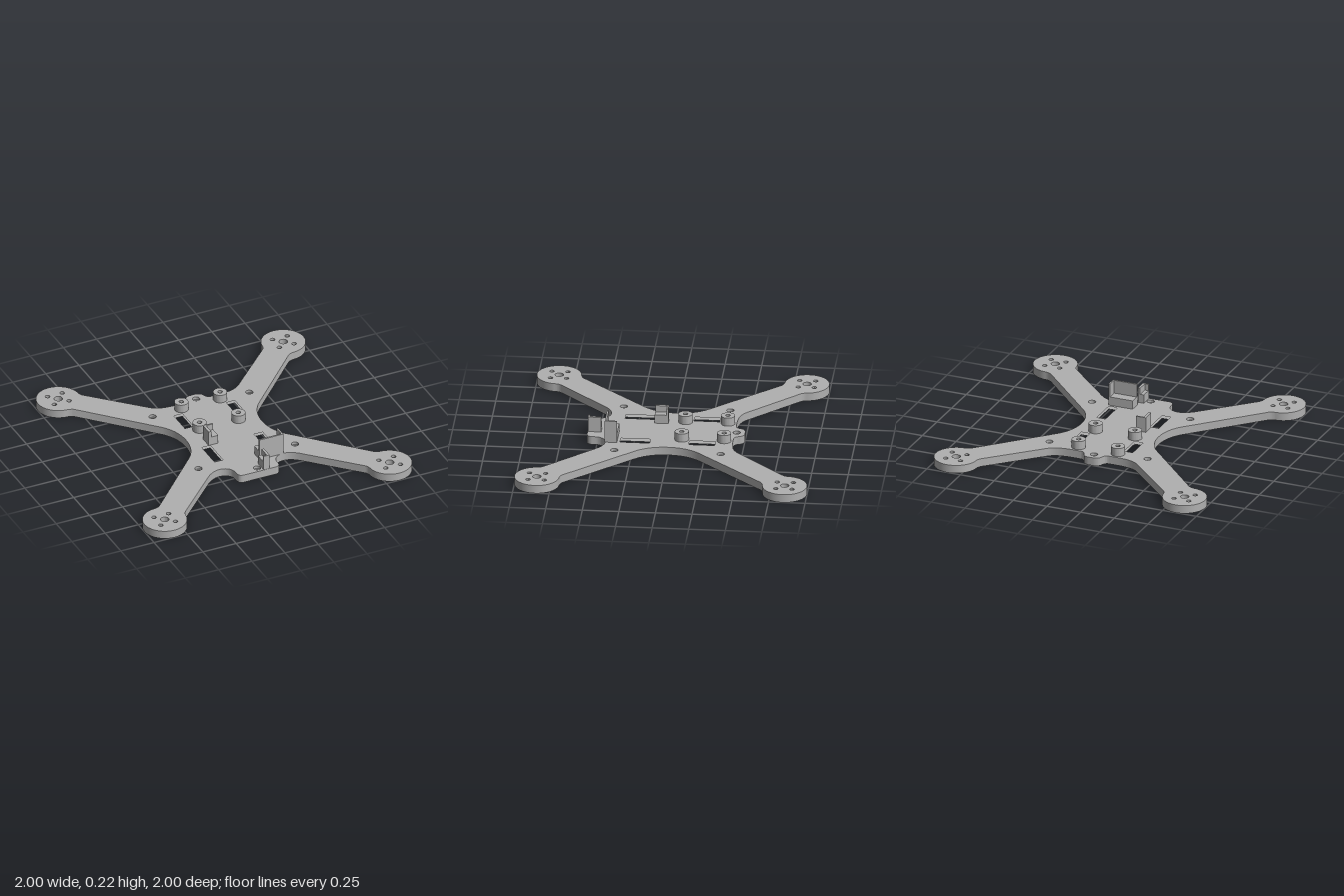
import * as THREE from 'three';
import { toCreasedNormals } from 'three/addons/utils/BufferGeometryUtils.js';

const PLATE = 0.058; // plate thickness
const BORE = 0.02; // depth of the counterbores
const rad = (d) => (d * Math.PI) / 180;

const circle = (x, z, r) => new THREE.Path().absarc(x, -z, r, 0, Math.PI * 2, false);
const rect = (x0, x1, z0, z1) => new THREE.Path([
  new THREE.Vector2(x0, -z0), new THREE.Vector2(x1, -z0),
  new THREE.Vector2(x1, -z1), new THREE.Vector2(x0, -z1), new THREE.Vector2(x0, -z0),
]);

// Extrudes a plan shape (x, -z) upward from y0
function slab(shape, y0, height) {
  const geo = new THREE.ExtrudeGeometry(shape, { depth: height, bevelEnabled: false, curveSegments: 20 });
  geo.rotateX(-Math.PI / 2).translate(0, y0, 0);
  return toCreasedNormals(geo, rad(35));
}

// Frame outline: one side drawn back to front, then mirrored
function outline() {
  const p = new THREE.Path();
  p.moveTo(0, 0.5);
  p.lineTo(0.02, 0.5);
  p.quadraticCurveTo(0.06, 0.495, 0.067, 0.463);
  p.quadraticCurveTo(0.077, 0.43, 0.105, 0.43);
  p.lineTo(0.15, 0.43);
  p.bezierCurveTo(0.22, 0.43, 0.29, 0.435, 0.335, 0.48);
  p.lineTo(0.675, 0.815);
  p.quadraticCurveTo(0.695, 0.835, 0.695, 0.865);
  p.absarc(0.847, 0.847, 0.153, rad(173), rad(-83), true);
  p.quadraticCurveTo(0.835, 0.695, 0.81, 0.68);
  p.lineTo(0.36, 0.21);
  p.bezierCurveTo(0.31, 0.15, 0.286, 0.08, 0.286, 0);
  p.bezierCurveTo(0.286, -0.08, 0.31, -0.15, 0.36, -0.21);
  p.lineTo(0.81, -0.68);
  p.quadraticCurveTo(0.835, -0.695, 0.865, -0.695);
  p.absarc(0.847, -0.847, 0.153, rad(83), rad(-173), true);
  p.quadraticCurveTo(0.695, -0.835, 0.675, -0.815);
  p.lineTo(0.35, -0.49);
  p.bezierCurveTo(0.31, -0.45, 0.27, -0.435, 0.24, -0.435);
  p.bezierCurveTo(0.19, -0.435, 0.157, -0.47, 0.157, -0.51);
  p.lineTo(0.157, -0.53);
  p.quadraticCurveTo(0.155, -0.57, 0.115, -0.57);
  p.lineTo(0, -0.57);
  const half = p.getPoints(20);
  const other = half.slice(1, -1).reverse().map((v) => new THREE.Vector2(-v.x, v.y));
  return half.concat(other);
}

export function createModel() {
  const model = new THREE.Group();
  const grey = new THREE.MeshStandardMaterial({ color: 0xb0b0b0 });
  grey.name = 'grey';

  const add = (name, geo, parent = model) => {
    const mesh = new THREE.Mesh(geo, grey);
    mesh.name = name;
    parent.add(mesh);
    return mesh;
  };

  const standoffs = [];
  for (const s of [-1, 1]) for (const z of [-0.37, -0.08]) standoffs.push([s * 0.146, z]);
  const screws = [[0, -0.443], [0, 0.526]];
  for (const x of [-0.364, 0.364]) for (const z of [-0.366, 0.362]) screws.push([x, z]);

  // Frame plate with motor holes, strap slots and screw holes
  function plate(screwRadius) {
    const shape = new THREE.Shape(outline());
    for (const sx of [-1, 1]) {
      for (const sz of [-1, 1]) {
        const x = sx * 0.847, z = sz * 0.847;
        shape.holes.push(circle(x, z, 0.029));
        for (const dx of [-0.055, 0.055]) {
          for (const dz of [-0.055, 0.055]) shape.holes.push(circle(x + dx, z + dz, 0.016));
        }
      }
      const x0 = sx < 0 ? -0.23 : 0.165;
      shape.holes.push(rect(x0, x0 + 0.064, -0.312, -0.135), rect(x0, x0 + 0.064, 0.132, 0.335));
    }
    for (const [x, z] of standoffs) shape.holes.push(circle(x, z, 0.016));
    for (const [x, z] of screws) shape.holes.push(circle(x, z, screwRadius));
    return shape;
  }
  add('framePlateLower', slab(plate(0.014), 0, PLATE - BORE));
  add('framePlateUpper', slab(plate(0.025), PLATE - BORE, BORE));

  // Hollow standoffs for the circuit board
  for (const [x, z] of standoffs) {
    const ring = new THREE.Shape(circle(x, z, 0.048).getPoints(20));
    ring.holes.push(circle(x, z, 0.016));
    add('standoff', slab(ring, PLATE, 0.06));
  }

  // Corner holder: a low ledge with a tall wall on one x side and one z side
  function holder(name, [x0, x1], [z0, z1], top, side, wallX, wallZ) {
    const group = new THREE.Group();
    group.name = name;
    const block = (part, a, b, c, d, y) => {
      const geo = new THREE.BoxGeometry(b - a, y - PLATE, d - c);
      add(part, geo.translate((a + b) / 2, (y + PLATE) / 2, (c + d) / 2), group);
    };
    block('ledge', x0, x1, z0, z1, 0.12);
    if (side > 0) {
      block('sideWall', x1 - wallX, x1, z0, z1, top);
      block('endWall', x0, x1 - wallX, z1 - wallZ, z1, top);
    } else {
      block('sideWall', x0, x0 + wallX, z0, z1, top);
      block('endWall', x0 + wallX, x1, z0, z0 + wallZ, top);
    }
    model.add(group);
  }
  holder('largeHolder', [0.06, 0.24], [0.355, 0.438], 0.215, 1, 0.012, 0.012);
  holder('smallHolder', [0.03, 0.075], [0.477, 0.568], 0.166, 1, 0.018, 0.012);
  holder('middleHolder', [-0.176, -0.104], [0.035, 0.128], 0.166, -1, 0.02, 0.011);

  return model;
}
